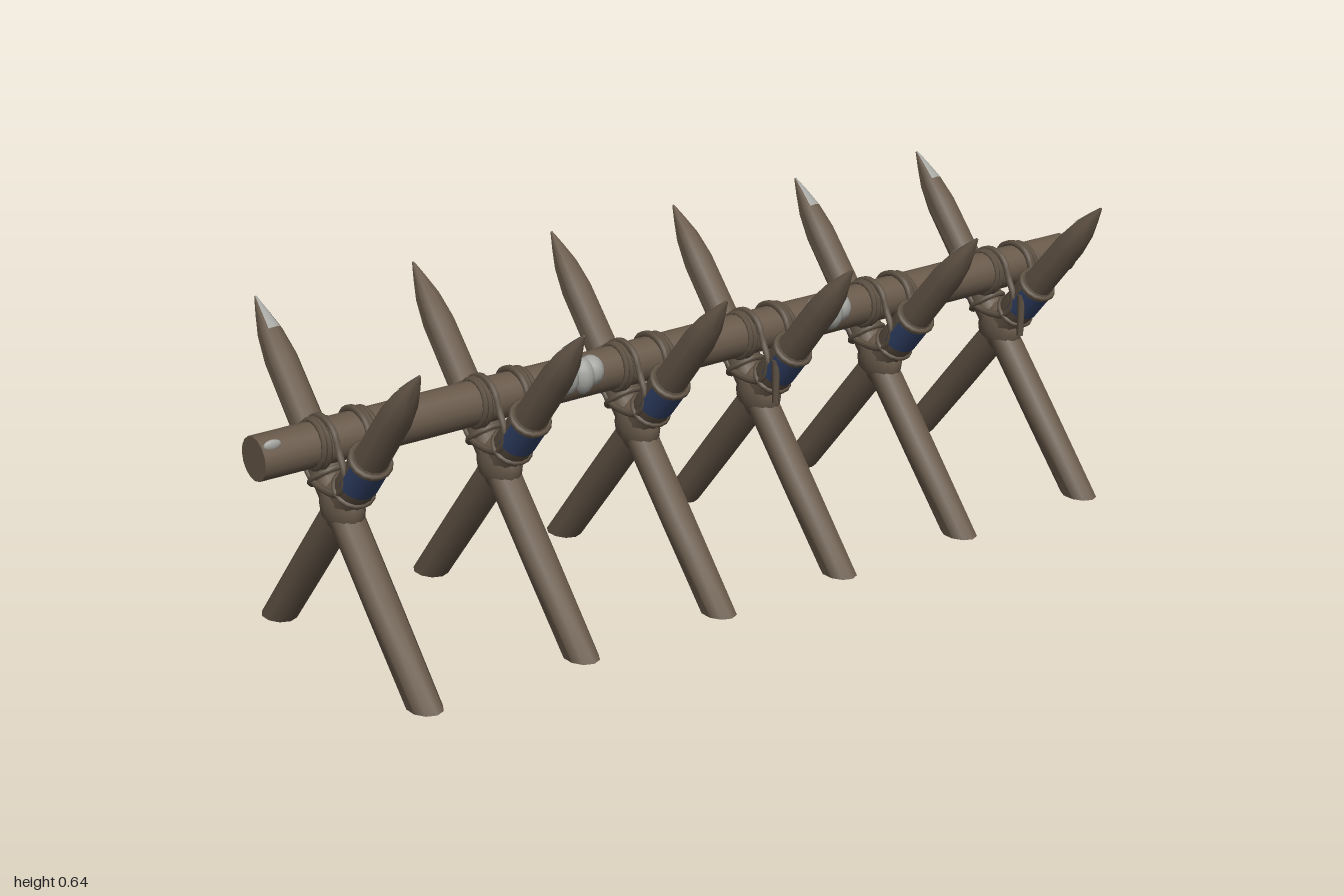
import * as THREE from 'three';
import { toCreasedNormals } from 'three/addons/utils/BufferGeometryUtils.js';

const mat = (name, color) => {
  const m = new THREE.MeshStandardMaterial({ color, side: THREE.DoubleSide });
  m.name = name;
  return m;
};

const LOG_Y = 0.44, LOG_R = 0.043;
const FOOT_Z = 0.255, LEAN = 0.70, LENGTH = 0.83, R = 0.033;

export function createModel() {
  const wood = mat('weathered wood', 0x68594a);
  const rope = mat('rope', 0x5f5244);
  const cloth = mat('blue cloth', 0x35466f);
  const pale = mat('pale patch', 0xa3a49f);

  const model = new THREE.Group();
  model.name = 'spikedBarricade';
  const add = (parent, name, geo, material, x = 0, y = 0, z = 0) => {
    const m = new THREE.Mesh(geo, material);
    m.name = name;
    m.position.set(x, y, z);
    parent.add(m);
    return m;
  };
  const lathe = (pts, segs, start = 0, arc = Math.PI * 2) =>
    new THREE.LatheGeometry(pts.map(p => new THREE.Vector2(p[0], p[1])), segs, start, arc);

  // Stake: sharpened pole whose foot is cut level with the ground
  const tip = [[0.031, LENGTH - 0.13], [0.024, LENGTH - 0.075], [0.013, LENGTH - 0.035], [0.002, LENGTH]];
  let stakeGeo = lathe([[0, 0], [R - 0.001, 0], [R, 0.2], [R, 0.45], ...tip, [0, LENGTH]], 10);
  const p = stakeGeo.attributes.position;
  for (let i = 0; i < p.count; i++) {
    if (p.getY(i) < 0.01) p.setY(i, p.getZ(i) * Math.tan(LEAN));
  }
  stakeGeo = toCreasedNormals(stakeGeo, 0.7);
  const tipFaceGeo = lathe(tip.slice(1).map(q => [q[0] + 0.001, q[1]]), 3, Math.PI - 0.5, 1);

  // Wrapping around each stake, with cloth on its outer side
  const wrapGeo = lathe([[R, 0.455], [0.038, 0.462], [0.036, 0.5], [0.037, 0.54], [0.039, 0.56], [R, 0.568]], 14);
  const clothGeo = lathe([[0.0395, 0.488], [0.0395, 0.50], [0.0395, 0.53], [0.0395, 0.552]], 10, -1.6, 3.2);
  const stakeRingGeo = new THREE.TorusGeometry(0.037, 0.006, 6, 16).rotateX(Math.PI / 2);

  // Rope loop slung over the log and under the stakes' wrapping
  const loopPts = [[0, 0.487], [0.038, 0.472], [0.055, 0.435], [0.072, 0.395], [0.05, 0.355], [0, 0.345],
    [-0.05, 0.355], [-0.072, 0.395], [-0.055, 0.435], [-0.038, 0.472]];
  const loopGeo = new THREE.TubeGeometry(new THREE.CatmullRomCurve3(
    loopPts.map(q => new THREE.Vector3(0, q[1], q[0])), true), 36, 0.007, 6, true);
  const logRingGeo = new THREE.TorusGeometry(LOG_R + 0.001, 0.006, 6, 18).rotateY(Math.PI / 2);
  const knotGeo = new THREE.SphereGeometry(1, 14, 10);
  const tailGeo = new THREE.CylinderGeometry(0.009, 0.007, 0.09, 6);

  // Long log with slightly uneven girth
  const half = [[0, 0], [0.042, 0], [0.043, 0.35], [0.042, 0.7], [0.0435, 1.0], [0.042, 1.35], [0.043, 1.7], [0.042, 2], [0, 2]];
  const logGeo = toCreasedNormals(lathe(half, 16).translate(0, -1, 0).rotateZ(-Math.PI / 2), 0.7);
  add(model, 'log', logGeo, wood, 0, LOG_Y, 0);

  const stations = [-0.825, -0.48, -0.155, 0.15, 0.475, 0.82];
  const paleTips = { 1: [0, 1, 4, 5], '-1': [0, 4, 5] };
  const tails = { 1: [3, 5], '-1': [0, 2] };

  stations.forEach((x, i) => {
    const trestle = new THREE.Group();
    trestle.name = 'trestle';
    trestle.position.x = x;
    model.add(trestle);

    // Two crossing stakes, mirrored front to back
    for (const s of [1, -1]) {
      const side = new THREE.Group();
      side.name = s > 0 ? 'forwardStake' : 'backwardStake';
      side.rotation.y = s > 0 ? 0 : Math.PI;
      trestle.add(side);
      const lean = new THREE.Group();
      lean.name = 'leaningStake';
      lean.position.z = -FOOT_Z;
      lean.rotation.x = LEAN;
      side.add(lean);
      add(lean, 'stake', stakeGeo, wood);
      add(lean, 'stakeWrap', wrapGeo, rope);
      add(lean, 'clothBand', clothGeo, cloth);
      add(lean, 'lowerLashing', stakeRingGeo, rope, 0, 0.462, 0);
      add(lean, 'upperLashing', stakeRingGeo, rope, 0, 0.56, 0);
      if (paleTips[s].includes(i)) add(lean, 'paleTipFace', tipFaceGeo, pale);
      if (tails[s].includes(i)) add(side, 'ropeTail', tailGeo, rope, -0.034, 0.365, 0.095);
    }

    // Bulky lashing at the crossing
    add(trestle, 'crossingKnot', knotGeo, wood, 0, 0.308, 0).scale.set(0.037, 0.056, 0.056);

    // Rope on either side of the stakes
    for (const s of [1, -1]) {
      add(trestle, 'ropeLoop', loopGeo, rope, s * 0.034, 0, 0);
      add(trestle, 'logLashing', logRingGeo, rope, s * 0.046, LOG_Y, 0);
      add(trestle, 'logLashing', logRingGeo, rope, s * 0.057, LOG_Y, 0).rotation.z = s * 0.08;
    }
  });

  // Pale lumps on the front of the log
  for (const s of [1, -1]) {
    const cx = s > 0 ? 0.305 : -0.315;
    [[-0.028, 0.455, 0.027, 0.034], [0.006, 0.452, 0.03, 0.036], [0.032, 0.456, 0.025, 0.03]].forEach(([dx, y, z, r]) =>
      add(model, 'paleLump', knotGeo, pale, cx + dx, y, z).scale.set(0.025, r, 0.028));
  }
  add(model, 'paleChip', knotGeo, pale, -0.978, 0.47, 0.029).scale.set(0.018, 0.01, 0.006);

  return model;
}
